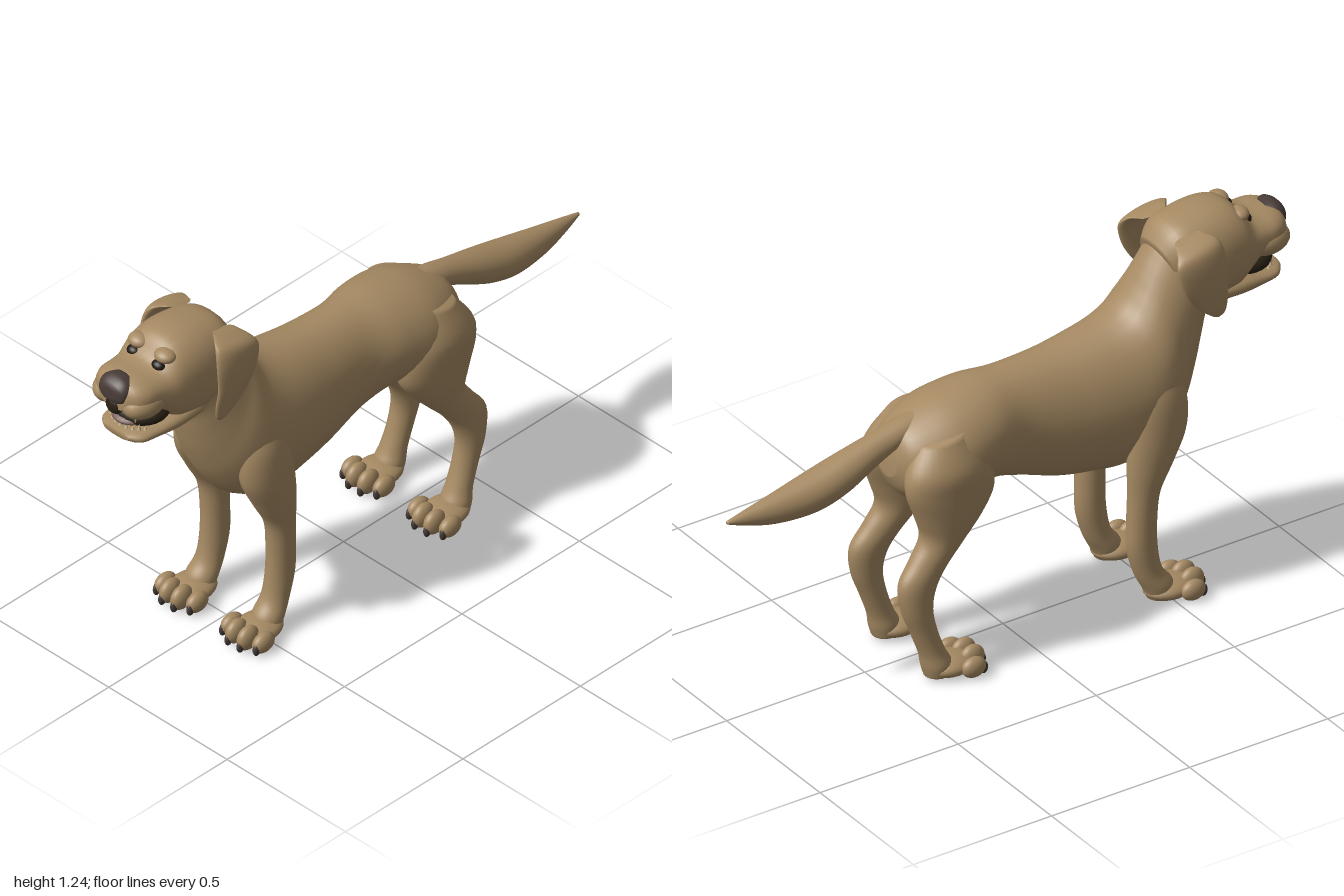
import * as THREE from 'three';

const mat = (name, color) => {
  const m = new THREE.MeshStandardMaterial({ color });
  m.name = name;
  return m;
};

export function createModel() {
  const dog = new THREE.Group();
  dog.name = 'dog';
  const fur = mat('tan fur', 0xa68a63);
  const noseMat = mat('nose brown', 0x4a3d38);
  const clawMat = mat('claw brown', 0x453b36);
  const dark = mat('mouth dark', 0x2a2114);
  const eyeMat = mat('eye dark', 0x20180f);
  const tongueMat = mat('tongue', 0x77605a);
  const toothMat = mat('tooth cream', 0xc9b48e);

  const add = (name, geometry, material, parent = dog) => {
    const m = new THREE.Mesh(geometry, material);
    m.name = name;
    parent.add(m);
    return m;
  };

  // Smooth loft: each station is [x, half width, z1, y1, z2, y2];
  // the two (z, y) points are opposite edges of the section in side view.
  function loft(stations, { power = 1, sides = 32, steps = 5 } = {}) {
    const n = stations.length, rows = [];
    const at = i => stations[Math.max(0, Math.min(n - 1, i))];
    for (let i = 0; i < n - 1; i++) {
      for (let k = 0; k < steps; k++) {
        const t = k / steps;
        rows.push(at(i).map((b, c) => {
          const a = at(i - 1)[c], d = at(i + 1)[c], e = at(i + 2)[c];
          return 0.5 * (2 * b + (d - a) * t + (2 * a - 5 * b + 4 * d - e) * t * t
            + (3 * b - a - 3 * d + e) * t * t * t);
        }));
      }
    }
    rows.push(at(n - 1));
    const cap = ([x, , z1, y1, z2, y2]) =>
      [x, 0, (z1 + z2) / 2, (y1 + y2) / 2, (z1 + z2) / 2, (y1 + y2) / 2];
    rows.unshift(cap(rows[0]));
    rows.push(cap(rows[rows.length - 1]));

    const pos = [], index = [];
    const bulge = v => Math.sign(v) * Math.abs(v) ** power;
    rows.forEach(([x, rx, z1, y1, z2, y2], i) => {
      for (let j = 0; j < sides; j++) {
        const a = (j / sides) * Math.PI * 2;
        const c = bulge(Math.cos(a)), s = bulge(Math.sin(a));
        pos.push(x + rx * c, (y1 + y2) / 2 + s * (y1 - y2) / 2, (z1 + z2) / 2 + s * (z1 - z2) / 2);
        if (i < rows.length - 1) {
          const p = i * sides + j, q = i * sides + (j + 1) % sides;
          index.push(p, q, p + sides, q, q + sides, p + sides);
        }
      }
    });
    const g = new THREE.BufferGeometry();
    g.setAttribute('position', new THREE.Float32BufferAttribute(pos, 3));
    g.setIndex(index);
    g.computeVertexNormals();
    return g;
  }
  const ball = (x, y, z, rx, ry, rz) =>
    new THREE.SphereGeometry(1, 24, 16).scale(rx, ry, rz).translate(x, y, z);
  const mirrored = (stations, s) => stations.map(([x, ...rest]) => [x * s, ...rest]);

  // Torso and neck, rump to throat
  add('torso', loft([
    [0, .05, -.415, .775, -.425, .67],
    [0, .11, -.39, .82, -.395, .61],
    [0, .155, -.33, .855, -.33, .56],
    [0, .18, -.24, .887, -.22, .55],
    [0, .165, -.12, .905, -.10, .565],
    [0, .14, 0, .905, .02, .53],
    [0, .152, .15, .91, .16, .48],
    [0, .168, .27, .925, .28, .457],
    [0, .18, .365, .945, .40, .447],
    [0, .183, .425, .975, .52, .49],
    [0, .168, .465, 1.025, .60, .59],
    [0, .145, .49, 1.065, .65, .70],
    [0, .13, .52, 1.11, .68, .80],
    [0, .122, .56, 1.16, .70, .88],
    [0, .11, .62, 1.19, .73, .93],
  ]), fur);

  // Tail, tip to root
  add('tail', loft([
    [0, .006, -1, .70, -.998, .69],
    [0, .022, -.93, .715, -.93, .665],
    [0, .043, -.82, .737, -.83, .64],
    [0, .062, -.68, .768, -.70, .637],
    [0, .06, -.57, .797, -.59, .665],
    [0, .047, -.45, .828, -.48, .72],
    [0, .045, -.36, .85, -.40, .76],
    [0, .04, -.27, .865, -.30, .79],
  ]), fur);

  // Skull and muzzle
  const head = new THREE.Group();
  head.name = 'head';
  dog.add(head);
  add('skull', loft([
    [0, .09, .535, 1.15, .60, .99],
    [0, .125, .58, 1.208, .64, .95],
    [0, .138, .66, 1.23, .69, .925],
    [0, .138, .74, 1.236, .74, .93],
    [0, .13, .80, 1.223, .80, .945],
    [0, .12, .845, 1.178, .84, .99],
    [0, .113, .88, 1.165, .88, 1.025],
    [0, .108, .93, 1.163, .93, 1.04],
    [0, .09, .965, 1.155, .965, 1.045],
    [0, .055, .985, 1.135, .987, 1.06],
  ], { power: .85 }), fur, head);
  add('lowerJaw', loft([
    [0, .11, .70, 1.0, .70, .92],
    [0, .112, .80, .995, .80, .92],
    [0, .098, .88, .98, .88, .923],
    [0, .086, .94, .973, .94, .93],
    [0, .05, .972, .967, .97, .943],
  ], { power: .85 }), fur, head);
  add('mouthInterior', ball(0, 1.005, .865, .097, .045, .088), dark, head);
  add('tongue', ball(0, .995, .90, .062, .02, .065), tongueMat, head);
  add('nose', loft([
    [0, .045, .935, 1.165, .94, 1.09],
    [0, .058, .965, 1.168, .97, 1.08],
    [0, .05, .99, 1.155, .992, 1.085],
    [0, .028, 1.0, 1.14, 1.0, 1.10],
  ], { power: .85 }), noseMat, head);
  add('lipGroove', ball(0, 1.065, .975, .032, .032, .021), dark, head);

  // Lower teeth along the jaw, larger at the corners
  for (let i = -4; i <= 4; i++) {
    const big = Math.abs(i) === 3, a = i * .3;
    const h = big ? .028 : .014;
    add('lowerTooth', new THREE.ConeGeometry(.006, h, 8)
      .translate(Math.sin(a) * .075, .972 + h / 2, .895 + Math.cos(a) * .055), toothMat, head);
  }

  for (const s of [1, -1]) {
    const side = s > 0 ? 'left' : 'right';

    // Cheeks, eyes, nostrils and upper fangs
    add(side + 'Flew', ball(s * .062, 1.075, .91, .056, .05, .08), fur, head);
    add(side + 'Brow', ball(s * .055, 1.192, .815, .036, .022, .032), fur, head);
    add(side + 'Eye', ball(s * .052, 1.166, .84, .024, .018, .02), eyeMat, head);
    add(side + 'Nostril', ball(s * .028, 1.115, .987, .012, .011, .011), dark, head);
    add(side + 'Fang', new THREE.ConeGeometry(.007, .03, 8).rotateX(Math.PI)
      .translate(s * .058, 1.02, .945), toothMat, head);

    // Hanging ear
    add(side + 'Ear', loft(mirrored([
      [.095, .02, .65, 1.205, .56, 1.185],
      [.14, .024, .685, 1.19, .54, 1.168],
      [.161, .02, .70, 1.13, .525, 1.135],
      [.166, .017, .70, 1.05, .545, 1.06],
      [.161, .014, .705, .99, .59, .99],
      [.156, .011, .70, .945, .64, .945],
      [.153, .005, .685, .928, .665, .928],
    ], s)), fur, head);

    // Front and hind legs, top to ankle
    add(side + 'FrontLeg', loft(mirrored([
      [.11, .05, .52, .82, .40, .79],
      [.125, .068, .565, .72, .38, .70],
      [.138, .063, .565, .60, .365, .58],
      [.142, .054, .515, .49, .36, .48],
      [.141, .046, .468, .40, .362, .39],
      [.139, .043, .457, .30, .36, .30],
      [.138, .042, .46, .20, .36, .20],
      [.138, .043, .475, .12, .385, .11],
      [.14, .05, .51, .07, .415, .05],
      [.14, .045, .52, .02, .43, .015],
    ], s)), fur);
    add(side + 'HindLeg', loft(mirrored([
      [.09, .06, -.20, .83, -.36, .80],
      [.112, .086, -.135, .72, -.415, .72],
      [.118, .08, -.12, .61, -.425, .65],
      [.12, .07, -.165, .53, -.395, .56],
      [.12, .058, -.235, .45, -.376, .485],
      [.125, .05, -.295, .385, -.415, .42],
      [.131, .044, -.335, .32, -.463, .35],
      [.135, .041, -.35, .25, -.455, .26],
      [.136, .04, -.335, .17, -.425, .18],
      [.138, .043, -.31, .10, -.395, .10],
      [.14, .05, -.29, .06, -.385, .05],
      [.14, .045, -.29, .02, -.375, .015],
    ], s)), fur);

    // Paws: pad, four toes and claws
    for (const [end, z] of [['Front', .505], ['Hind', -.29]]) {
      const paw = new THREE.Group();
      paw.name = side + end + 'Paw';
      paw.position.set(s * .14, 0, z);
      dog.add(paw);
      add('pad', ball(0, .035, 0, .068, .034, .085), fur, paw);
      [-.067, -.024, .024, .067].forEach(x => {
        const outer = Math.abs(x) > .05;
        const tz = outer ? .045 : .068, h = outer ? .034 : .041;
        add('toe', ball(x, h + .003, tz, .0245, h, .042), fur, paw);
        add('claw', ball(x * 1.06, .028, tz + .033, .01, .021, .014), clawMat, paw);
      });
    }
  }
  return dog;
}
